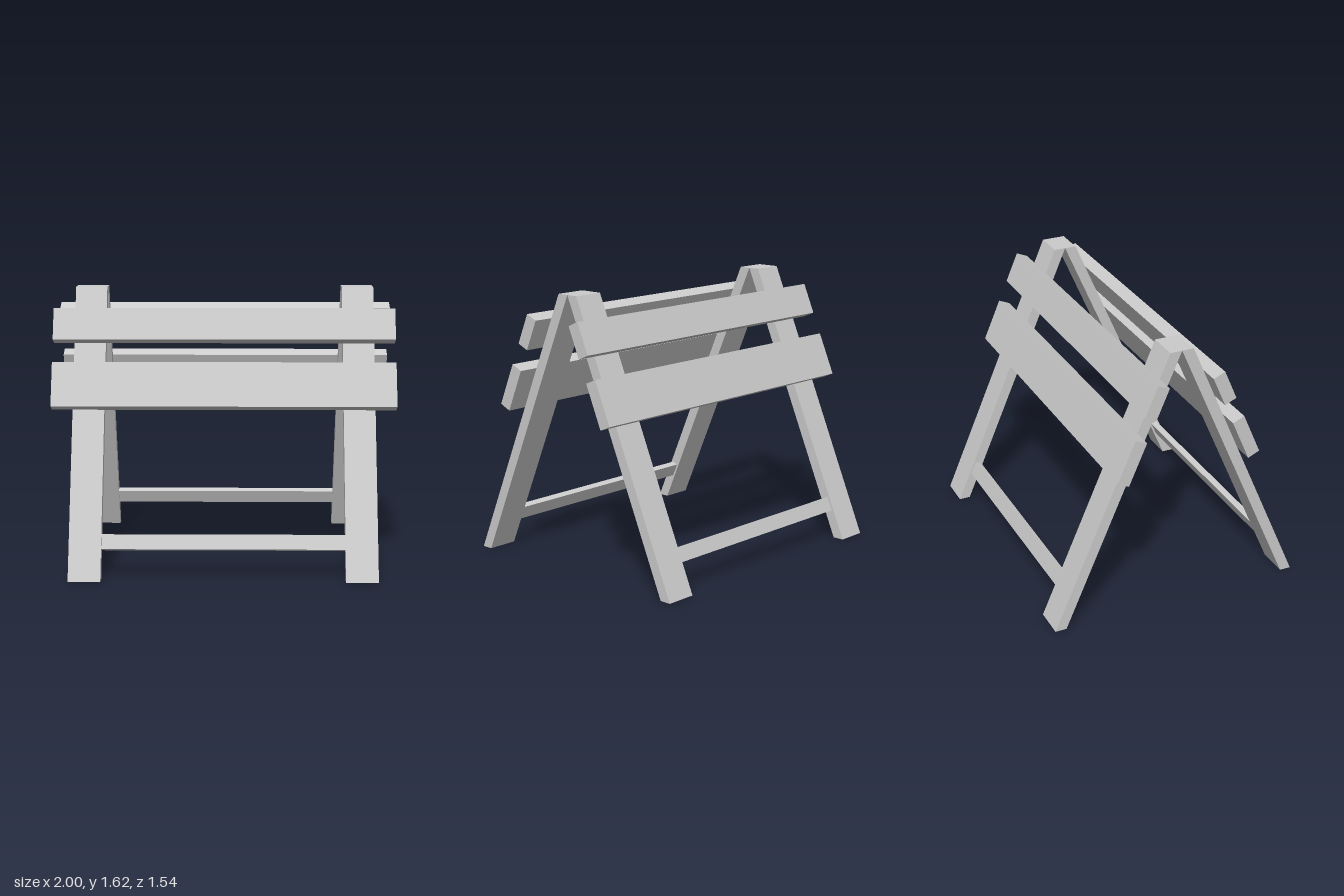
import * as THREE from 'three';

const material = new THREE.MeshStandardMaterial({ color: 0xcccccc, flatShading: true });

// Extrudes a (z, y) side profile along x between x0 and x1
function beam(name, profile, x0, x1) {
  const shape = new THREE.Shape(profile.map(([z, y]) => new THREE.Vector2(z, y)));
  const geometry = new THREE.ExtrudeGeometry(shape, { depth: x1 - x0, bevelEnabled: false });
  geometry.rotateY(-Math.PI / 2).translate(x1, 0, 0);
  const mesh = new THREE.Mesh(geometry, material);
  mesh.name = name;
  return mesh;
}

// One sloping side of the trestle
function createFrame(name) {
  const frame = new THREE.Group();
  frame.name = name;

  // Legs, cut level at the foot and the top
  const leg = [[0.70, 0], [0.768, 0], [0.07, 1.615], [0, 1.615]];
  frame.add(beam('leftLeg', leg, 0.695, 0.88));
  frame.add(beam('rightLeg', leg, -0.88, -0.695));

  // Boards lying on the outer face of the legs
  const upper = [[0.132, 1.471], [0.208, 1.295], [0.277, 1.325], [0.201, 1.501]];
  const lower = [[0.263, 1.169], [0.369, 0.924], [0.438, 0.954], [0.332, 1.199]];
  frame.add(beam('upperBoard', upper, -1, 1));
  frame.add(beam('lowerBoard', lower, -1, 1));

  // Thin rung between the legs
  const rung = [[0.612, 0.234], [0.646, 0.155], [0.68, 0.17], [0.646, 0.249]];
  frame.add(beam('rung', rung, -0.695, 0.695));
  return frame;
}

export function createModel() {
  const model = new THREE.Group();
  model.name = 'trestleBarrier';
  const front = createFrame('frontFrame');
  const back = createFrame('backFrame');
  back.rotation.y = Math.PI;
  model.add(front, back);
  return model;
}
